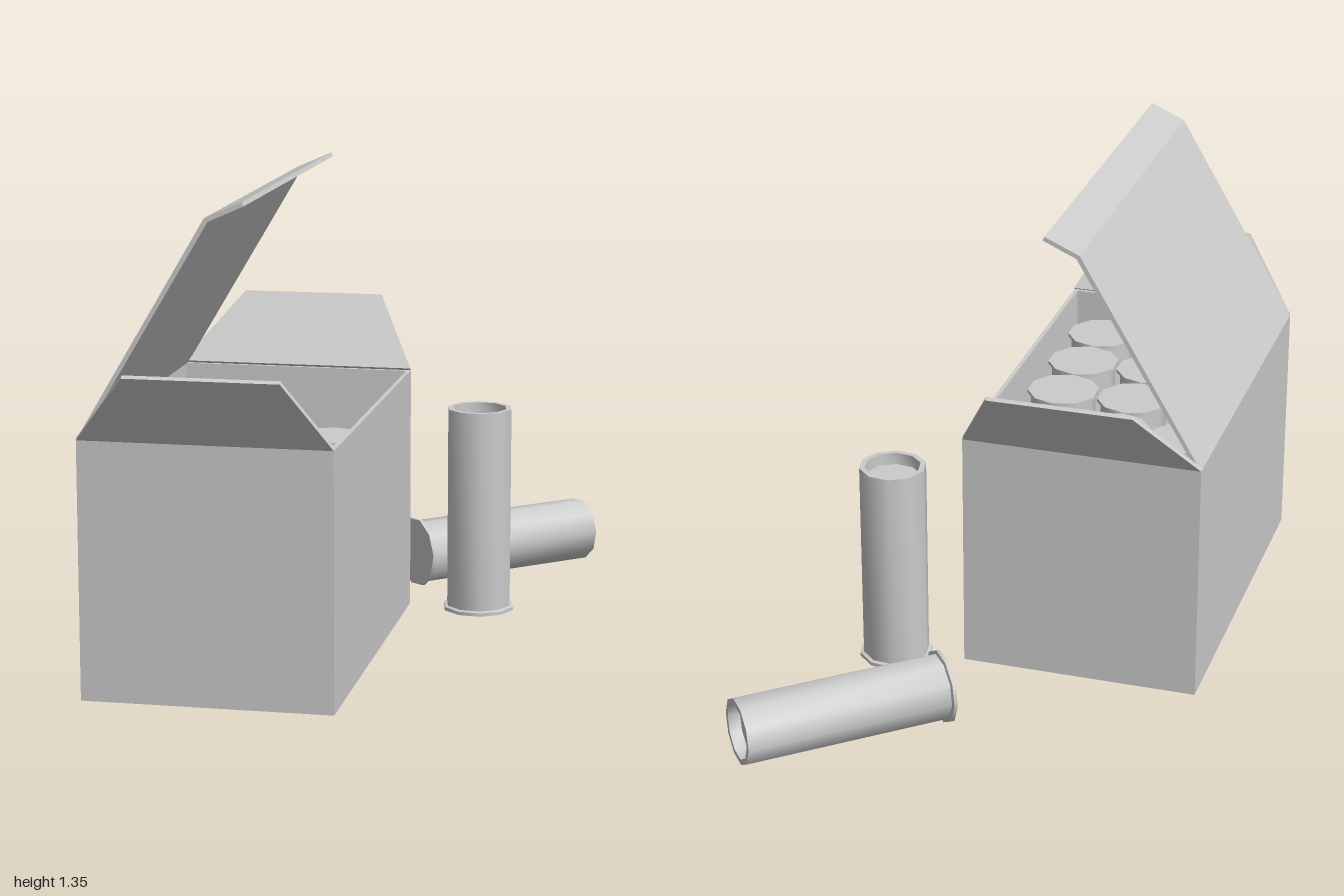
import * as THREE from 'three';
import { toCreasedNormals } from 'three/addons/utils/BufferGeometryUtils.js';

const grey = new THREE.MeshStandardMaterial({ color: 0xcccccc });

// Box extents and wall thickness
const X0 = -0.58, X1 = 0.1, Y0 = 0.025, Y1 = 0.725, Z0 = -0.25, Z1 = 0.865, T = 0.012;

function add(parent, geometry, name) {
  const mesh = new THREE.Mesh(geometry, grey);
  mesh.name = name;
  parent.add(mesh);
  return mesh;
}

function block(parent, name, x0, x1, y0, y1, z0, z1) {
  const mesh = add(parent, new THREE.BoxGeometry(x1 - x0, y1 - y0, z1 - z0), name);
  mesh.position.set((x0 + x1) / 2, (y0 + y1) / 2, (z0 + z1) / 2);
}

function extrude(points, depth) {
  const shape = new THREE.Shape(points.map(([x, y]) => new THREE.Vector2(x, y)));
  return new THREE.ExtrudeGeometry(shape, { depth, bevelEnabled: false });
}

// Ten-sided cartridge: rimmed base, straight tube, shallow recessed mouth
function cartridgeGeometry() {
  const profile = [
    [0, 0], [0.105, 0], [0.105, 0.01], [0.095, 0.013], [0.095, 0.6],
    [0.079, 0.6], [0.079, 0.565], [0, 0.565],
  ].map(([r, y]) => new THREE.Vector2(r, y));
  return toCreasedNormals(new THREE.LatheGeometry(profile, 10), 0.7);
}

export function createModel() {
  const model = new THREE.Group();
  model.name = 'openCartridgeBox';

  // Carton walls and floor
  const carton = new THREE.Group();
  carton.name = 'carton';
  model.add(carton);
  block(carton, 'floor', X0, X1, Y0, Y0 + T, Z0, Z1);
  block(carton, 'rightWall', X0, X0 + T, Y0 + T, Y1, Z0, Z1);
  block(carton, 'leftWall', X1 - T, X1, Y0 + T, Y1, Z0, Z1);
  block(carton, 'frontWall', X0 + T, X1 - T, Y0 + T, Y1, Z1 - T, Z1);
  block(carton, 'backWall', X0 + T, X1 - T, Y0 + T, Y1, Z0, Z0 + T);

  // Tapered end flaps folded outwards
  const outline = [[X0, 0], [X1, 0], [-0.01, 0.234], [-0.42, 0.234]];
  for (const side of [1, -1]) {
    const geometry = extrude(outline, T);
    if (side > 0) geometry.translate(0, 0, -T);
    const flap = add(carton, geometry, side > 0 ? 'frontFlap' : 'backFlap');
    flap.position.set(0, Y1, side > 0 ? Z1 : Z0);
    flap.rotation.x = side * 0.6;
  }

  // Raised lid with its bent tuck edge
  const lid = add(carton, extrude([
    [X0, Y1], [-0.567, Y1], [-0.224, 1.302], [-0.13, 1.344], [-0.135, 1.355], [-0.233, 1.312],
  ], Z1 - Z0), 'lid');
  lid.position.z = Z0;

  // Cartridges packed rim-up: rows of five, four and three
  const geometry = cartridgeGeometry();
  const packed = new THREE.Group();
  packed.name = 'packedCartridges';
  model.add(packed);
  [5, 4, 3].forEach((count, column) => {
    for (let i = 0; i < count; i++) {
      const cartridge = add(packed, geometry, 'packedCartridge');
      cartridge.position.set(-0.45 + column * 0.212, 0.645, 0.74 - i * 0.213);
      cartridge.rotation.x = Math.PI;
    }
  });

  // Loose cartridges beside the carton
  const standing = add(model, geometry, 'standingCartridge');
  standing.position.set(0.302, 0.02, -0.26);
  standing.rotation.y = 0.2;

  const lying = add(model, geometry, 'lyingCartridge');
  lying.position.set(0.065, 0.107, -0.54);
  lying.quaternion.setFromUnitVectors(
    new THREE.Vector3(0, 1, 0), new THREE.Vector3(0.45, 0, -0.39).normalize());

  return model;
}
